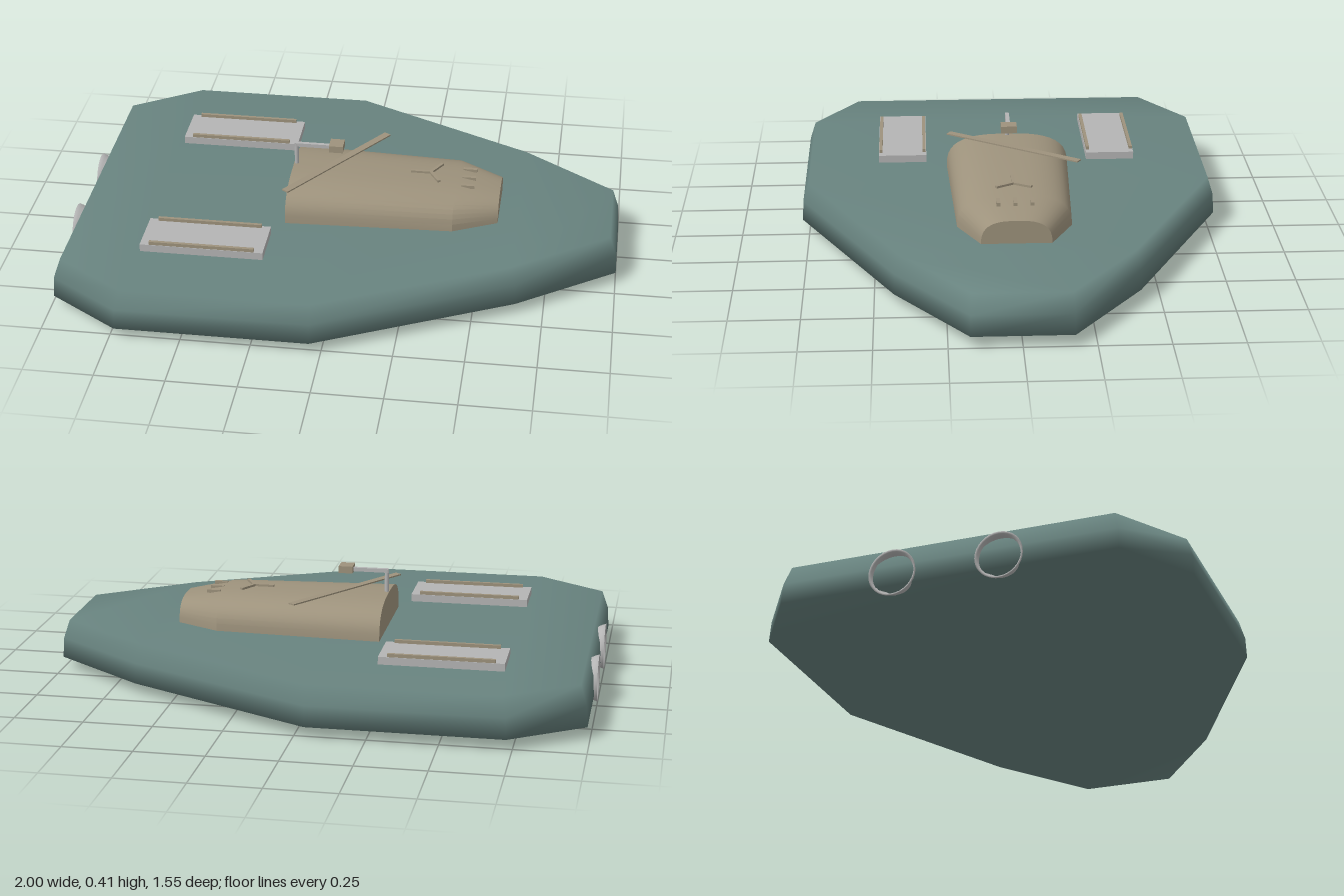
import * as THREE from 'three';
import { toCreasedNormals } from 'three/addons/utils/BufferGeometryUtils.js';

const paint = (name, color) => new THREE.MeshStandardMaterial({ name, color });

// Joins mirror-symmetric cross-sections into a closed solid; caps are strips across the mirror line.
function loft(rings, crease) {
  const n = rings[0].length, last = (rings.length - 1) * n, index = [];
  for (let r = 0; r < rings.length - 1; r++) {
    for (let i = 0; i < n; i++) {
      const j = (i + 1) % n, a = r * n + i, b = r * n + j;
      index.push(a, b, b + n, a, b + n, a + n);
    }
  }
  for (let i = 0; i < n / 2 - 1; i++) {
    const a = i, b = i + 1, c = n - 2 - i, d = n - 1 - i;
    index.push(a, c, b, a, d, c);
    index.push(last + a, last + b, last + c, last + a, last + c, last + d);
  }
  const g = new THREE.BufferGeometry();
  g.setAttribute('position', new THREE.Float32BufferAttribute(rings.flat(2), 3));
  g.setIndex(index);
  g.computeVertexNormals();
  return crease ? toCreasedNormals(g, crease) : g;
}

export function createModel() {
  const model = new THREE.Group();
  model.name = 'hovercraft';
  const teal = paint('hull teal', 0x68837f);
  const tan = paint('cabin tan', 0x9d927c);
  const grey = paint('metal grey', 0xb4b4b4);
  grey.side = THREE.DoubleSide;

  const add = (name, geometry, material, x = 0, y = 0, z = 0) => {
    const mesh = new THREE.Mesh(geometry, material);
    mesh.name = name;
    mesh.position.set(x, y, z);
    model.add(mesh);
    return mesh;
  };
  const box = (name, material, size, pos) =>
    add(name, new THREE.BoxGeometry(...size), material, ...pos);

  // Hull: faceted outline with an inward-leaning upper edge
  const half = [[-0.99, 0.6], [-0.73, 0.775], [-0.04, 0.775], [0.65, 0.43], [1, 0.175]];
  const outline = [...half, ...half.map(([x, z]) => [x, -z]).reverse()];
  const hullRings = [[0.045, 1, 1], [0.12, 0.995, 0.995], [0.19, 0.972, 0.967]]
    .map(([y, sx, sz]) => outline.map(([x, z]) => [x * sx, y, z * sz]));
  add('hull', loft(hullRings), teal);

  // Cabin: rounded arch narrowing towards the nose
  const steps = 21;
  const cabinRings = [[-0.21, 0.23, 0.315], [0.4, 0.205, 0.306], [0.56, 0.125, 0.275]]
    .map(([x, w, top]) => Array.from({ length: steps + 1 }, (_, i) => {
      const t = Math.PI * i / steps, c = Math.cos(t);
      const s = Math.max(0, Math.sin(t));
      return [x, 0.185 + (top - 0.185) * s ** 0.7, -Math.sign(c) * w * Math.abs(c) ** 0.7];
    }));
  add('cabin', loft(cabinRings, 0.42), tan);

  // Mast, arm and sensor head
  add('mast', new THREE.CylinderGeometry(0.008, 0.008, 0.095, 10), grey, -0.2, 0.352, 0);
  box('mastArm', grey, [0.15, 0.014, 0.014], [-0.132, 0.394, 0]);
  box('sensorHead', tan, [0.052, 0.026, 0.058], [-0.05, 0.397, 0]);

  // Flat blade lying across the cabin roof
  box('roofBlade', tan, [0.57, 0.005, 0.028], [-0.05, 0.321, -0.015])
    .rotation.y = Math.atan2(0.46, 0.31);

  // Three-armed roof vent
  for (const angle of [Math.PI, Math.PI / 3, -Math.PI / 3]) {
    box('roofVentArm', tan, [0.075, 0.008, 0.012],
      [0.3 + 0.036 * Math.cos(angle), 0.314, -0.036 * Math.sin(angle)]).rotation.y = angle;
  }
  // Small nose slots
  for (const z of [-0.06, 0, 0.06]) box('noseSlot', tan, [0.05, 0.012, 0.014], [0.442, 0.299, z]);

  for (const side of [-1, 1]) {
    // Deck hatch with a rail along each long edge
    box('deckHatch', grey, [0.445, 0.03, 0.182], [-0.47, 0.203, side * 0.398]);
    for (const dz of [-0.083, 0.083]) {
      box('hatchRail', tan, [0.38, 0.014, 0.012], [-0.47, 0.223, side * 0.398 + dz]);
    }
    // Flared open thruster ring at the stern
    const profile = [[0.058, 0.055], [0.07, 0.035], [0.08, 0.014], [0.085, 0], [0.078, 0.002], [0.073, 0.014]]
      .map(([r, h]) => new THREE.Vector2(r, h));
    add('sternThruster', new THREE.LatheGeometry(profile, 32), grey, -1, 0.088, side * 0.19)
      .rotation.z = -Math.PI / 2;
  }
  return model;
}
